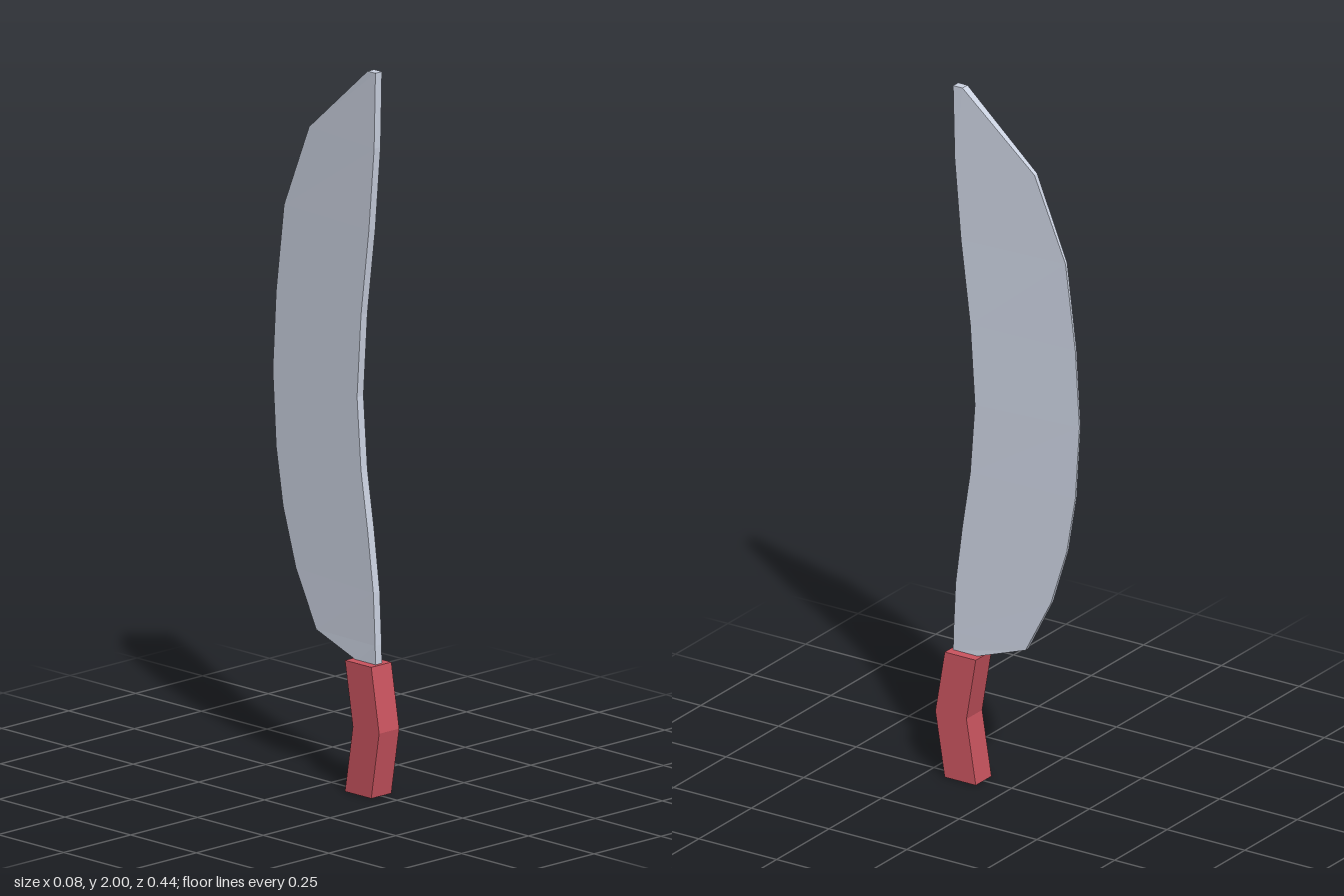
import * as THREE from 'three';

// Blade rows from handle to tip: [spine z, spine y, edge z, edge y]
const ROWS = [
  [0.18, 0.36, 0.11, 0.36],
  [0.179, 0.415, -0.05, 0.415],
  [0.172, 0.56, -0.13, 0.57],
  [0.15, 0.73, -0.18, 0.73],
  [0.125, 0.89, -0.207, 0.89],
  [0.11, 1.09, -0.22, 1.1],
  [0.125, 1.32, -0.207, 1.32],
  [0.155, 1.56, -0.176, 1.565],
  [0.175, 1.79, -0.078, 1.8],
  [0.18, 2.0, 0.15, 2.0],
];

// Half thickness: full at the spine, thinning evenly to the cutting edge
function halfThickness(z) {
  return THREE.MathUtils.mapLinear(Math.min(z, 0.11), -0.22, 0.11, 0.003, 0.012);
}

function bladeGeometry() {
  const positions = [];
  const index = [];
  const quad = (a, b, c, d) => index.push(a, b, c, a, c, d);

  for (const [sz, sy, ez, ey] of ROWS) {
    const s = halfThickness(sz);
    const e = halfThickness(ez);
    positions.push(s, sy, sz, e, ey, ez, -e, ey, ez, -s, sy, sz);
  }
  for (let i = 0; i < ROWS.length - 1; i++) {
    for (let k = 0; k < 4; k++) {
      const a = i * 4 + k;
      const b = i * 4 + ((k + 1) % 4);
      quad(a, b, b + 4, a + 4);
    }
  }
  // End caps
  const t = (ROWS.length - 1) * 4;
  quad(3, 2, 1, 0);
  quad(t, t + 1, t + 2, t + 3);

  const geometry = new THREE.BufferGeometry();
  geometry.setAttribute('position', new THREE.Float32BufferAttribute(positions, 3));
  geometry.setIndex(index);
  geometry.computeVertexNormals();
  return geometry;
}

// Bent grip: side outline (z, y) extruded across x
function handleGeometry() {
  const outline = [[0.09, 0], [0.19, 0], [0.22, 0.185], [0.19, 0.363], [0.09, 0.363], [0.12, 0.185]];
  const shape = new THREE.Shape(outline.map(([z, y]) => new THREE.Vector2(z, y)));
  const width = 0.075;
  const geometry = new THREE.ExtrudeGeometry(shape, { depth: width, bevelEnabled: false });
  geometry.translate(0, 0, -width / 2);
  geometry.rotateY(-Math.PI / 2);
  return geometry;
}

function part(name, geometry, color) {
  const mesh = new THREE.Mesh(geometry, new THREE.MeshStandardMaterial({ color, flatShading: true }));
  mesh.name = name;
  return mesh;
}

export function createModel() {
  const group = new THREE.Group();
  group.name = 'machete';
  group.add(part('blade', bladeGeometry(), 0xcdd4e3));
  group.add(part('handle', handleGeometry(), 0xcc5560));
  return group;
}
